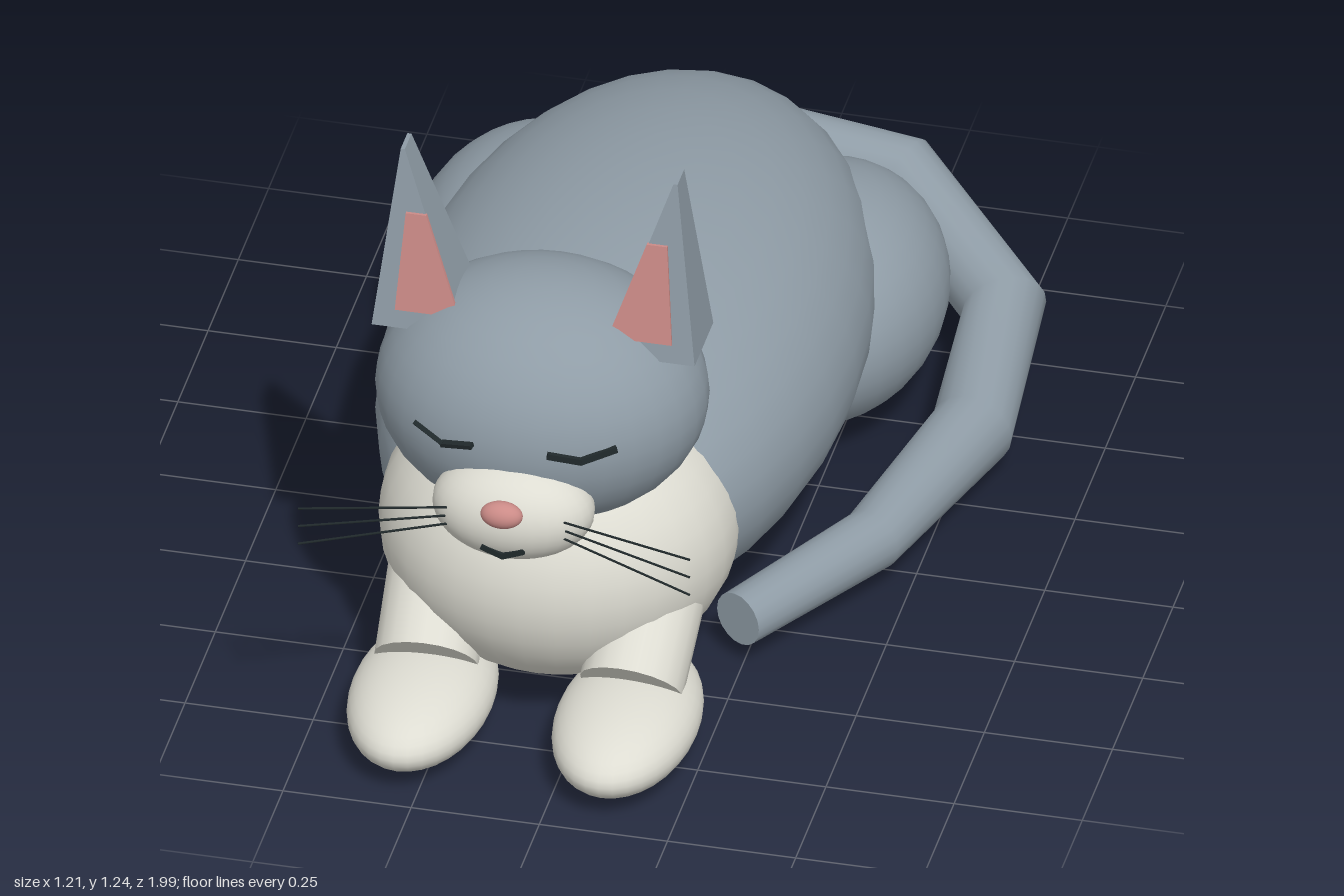
import * as THREE from 'three';

const mat = (name, color) => Object.assign(new THREE.MeshStandardMaterial({ color }), { name });
const V = (x, y, z) => new THREE.Vector3(x, y, z);

export function createModel() {
  const fur = mat('grey fur', 0x8f9ca6);
  const cream = mat('cream fur', 0xdddcd2);
  const pink = mat('pink skin', 0xcb8b87);
  const dark = mat('dark line', 0x20292b);
  const cat = new THREE.Group();
  cat.name = 'sleepingCat';
  cat.position.x = -0.09; // the tail makes the model lopsided

  function add(name, geometry, material, parent = cat) {
    const mesh = new THREE.Mesh(geometry, material);
    mesh.name = name;
    parent.add(mesh);
    return mesh;
  }
  function ellipsoid(name, material, c, r) {
    const mesh = add(name, new THREE.SphereGeometry(1, 32, 20), material);
    mesh.position.set(...c);
    mesh.scale.set(...r);
  }
  // Round bar between two points
  function bar(name, material, a, b, r, sides = 20) {
    const dir = b.clone().sub(a);
    const mesh = add(name, new THREE.CylinderGeometry(r, r, dir.length(), sides), material);
    mesh.position.copy(a).add(b).multiplyScalar(0.5);
    mesh.quaternion.setFromUnitVectors(V(0, 1, 0), dir.normalize());
  }
  // Thin bent strip, drawn as a chain of small boxes
  function strokes(name, points, width) {
    const group = new THREE.Group();
    group.name = name;
    cat.add(group);
    for (let i = 0; i + 1 < points.length; i++) {
      const dir = points[i + 1].clone().sub(points[i]);
      const geometry = new THREE.BoxGeometry(dir.length() + width * 0.3, width, 0.009);
      const mesh = add(name + 'Stroke', geometry, dark, group);
      mesh.position.copy(points[i]).add(points[i + 1]).multiplyScalar(0.5);
      mesh.quaternion.setFromUnitVectors(V(1, 0, 0), dir.normalize());
    }
  }
  // Four-cornered block from bottom and top rectangles [x0, x1, z0, z1]
  function frustum(y0, y1, low, high) {
    const g = new THREE.BoxGeometry(1, 1, 1);
    const p = g.attributes.position;
    for (let i = 0; i < p.count; i++) {
      const q = p.getY(i) > 0 ? high : low;
      p.setXYZ(i, q[p.getX(i) > 0 ? 1 : 0], p.getY(i) > 0 ? y1 : y0, q[p.getZ(i) > 0 ? 3 : 2]);
    }
    g.computeVertexNormals();
    return g;
  }
  const mirrored = (s, a, b) => (s > 0 ? [a, b] : [-b, -a]);

  // Body, chest and head
  ellipsoid('body', fur, [0, 0.365, -0.1], [0.45, 0.335, 0.82]);
  ellipsoid('chest', cream, [0, 0.335, 0.45], [0.345, 0.29, 0.33]);
  ellipsoid('head', fur, [0, 0.725, 0.593], [0.32, 0.247, 0.275]);
  ellipsoid('muzzle', cream, [0, 0.607, 0.83], [0.157, 0.103, 0.105]);
  ellipsoid('nose', pink, [0, 0.647, 0.93], [0.041, 0.027, 0.026]);
  strokes('mouth', [V(-0.04, 0.565, 0.923), V(0, 0.549, 0.923), V(0.04, 0.565, 0.923)], 0.011);

  for (const s of [1, -1]) {
    const side = s > 0 ? 'left' : 'right';
    // Legs
    ellipsoid(side + 'Haunch', fur, [s * 0.28, 0.255, -0.53], [0.24, 0.225, 0.32]);
    ellipsoid(side + 'Paw', cream, [s * 0.2, 0.085, 0.735], [0.137, 0.085, 0.245]);
    bar(side + 'Foreleg', cream, V(s * 0.21, 0.3, 0.5), V(s * 0.2, 0.14, 0.705), 0.1);

    // Ear with a pink inner panel lying on its sloping front
    add(side + 'Ear', frustum(0.865, 1.24,
      [...mirrored(s, 0.135, 0.315), 0.515, 0.67],
      [...mirrored(s, 0.262, 0.27), 0.565, 0.62]), fur);
    add(side + 'InnerEar', frustum(0.905, 1.11,
      [...mirrored(s, 0.145, 0.27), 0.662, 0.67],
      [...mirrored(s, 0.215, 0.255), 0.635, 0.643]), pink);

    // Closed eye
    strokes(side + 'Eye', [V(s * 0.075, 0.75, 0.864), V(s * 0.135, 0.736, 0.848),
      V(s * 0.195, 0.75, 0.812)], 0.013);

    // Whiskers
    for (const k of [-1, 0, 1]) {
      bar(side + 'Whisker', dark, V(s * 0.095, 0.607 + k * 0.017, 0.89),
        V(s * 0.382, 0.605 + k * 0.04, 0.995), 0.0025, 6);
    }
  }

  // Tail: rings along a bent path, [x, y, z, radius]
  const path = [
    [-0.02, 0.365, -0.885, 0.065], [0.345, 0.275, -0.92, 0.08], [0.6, 0.17, -0.68, 0.082],
    [0.615, 0.105, -0.35, 0.08], [0.515, 0.105, 0.06, 0.062], [0.33, 0.1, 0.375, 0.055],
  ];
  const centres = path.map(([x, y, z]) => V(x, y, z));
  const sides = 18, pos = [], index = [];
  const last = path.length - 1;
  centres.forEach((c, i) => {
    const before = centres[Math.max(i - 1, 0)], after = centres[Math.min(i + 1, last)];
    const t = after.clone().sub(before).normalize();
    const across = V(0, 1, 0).cross(t).normalize();
    const up = t.clone().cross(across);
    for (let j = 0; j < sides; j++) {
      const a = (j / sides) * Math.PI * 2;
      const p = c.clone().addScaledVector(across, Math.cos(a) * path[i][3])
        .addScaledVector(up, Math.sin(a) * path[i][3]);
      pos.push(p.x, p.y, p.z);
      if (i < last) {
        const k = (j + 1) % sides, m = i * sides, n = m + sides;
        index.push(m + j, m + k, n + j, m + k, n + k, n + j);
      }
    }
  });
  const tail = new THREE.BufferGeometry();
  tail.setAttribute('position', new THREE.Float32BufferAttribute(pos, 3));
  tail.setIndex(index);
  tail.computeVertexNormals();
  add('tail', tail, fur);
  for (const [end, next] of [[0, 1], [last, last - 1]]) {
    const cap = add('tailEnd', new THREE.CircleGeometry(path[end][3], sides), fur);
    cap.position.copy(centres[end]);
    cap.quaternion.setFromUnitVectors(V(0, 0, 1), centres[end].clone().sub(centres[next]).normalize());
  }

  const model = new THREE.Group();
  model.name = 'cat';
  model.add(cat);
  return model;
}
